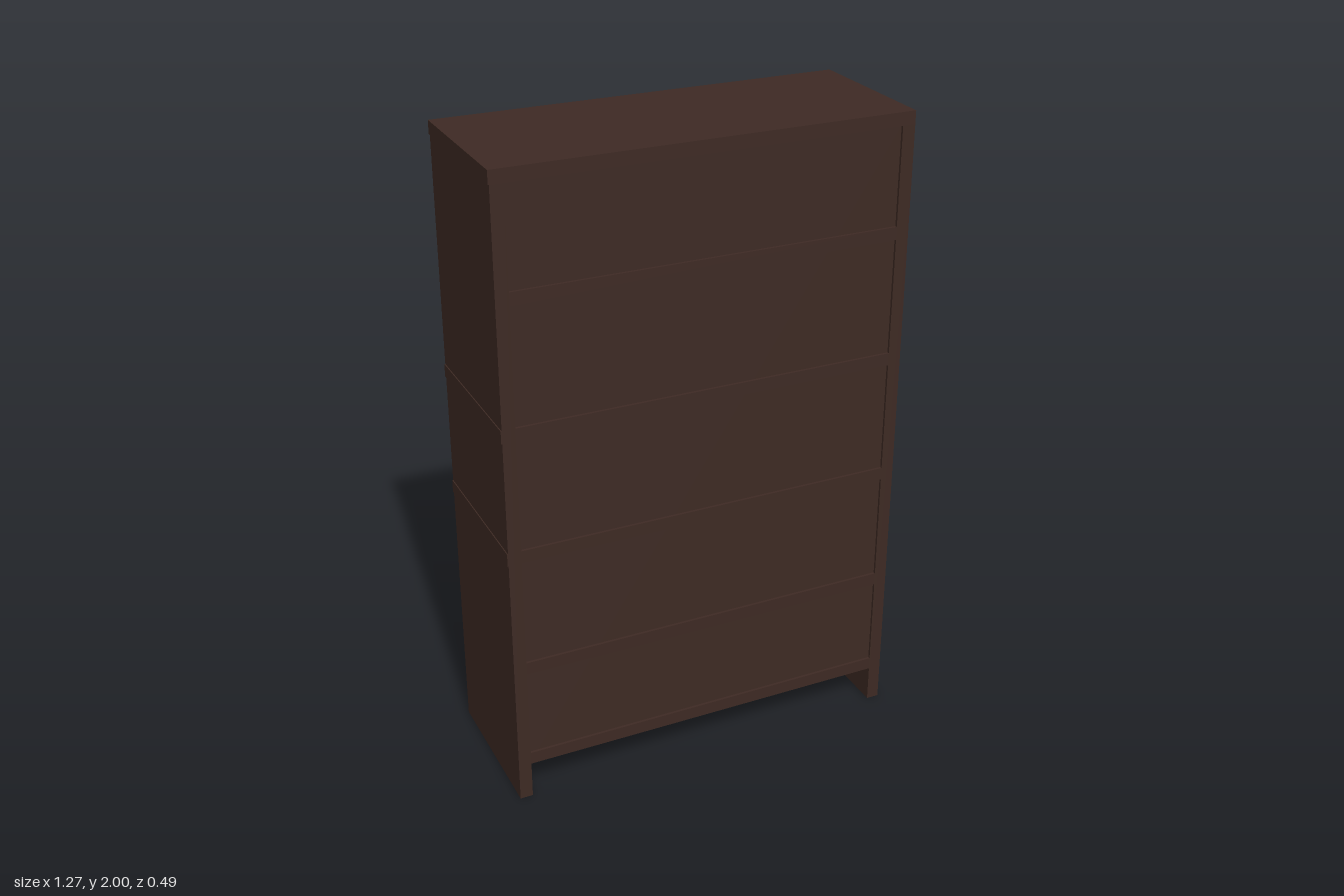
import * as THREE from 'three';

const WIDTH = 1.27, HEIGHT = 2, DEPTH = 0.49, BOARD = 0.04;

export function createModel() {
  const bookcase = new THREE.Group();
  bookcase.name = 'bookcase';
  const wood = new THREE.MeshStandardMaterial({ color: 0x3e2a24 });

  // A board given by its extents along each axis
  const board = (name, x0, x1, y0, y1, z0, z1) => {
    const mesh = new THREE.Mesh(new THREE.BoxGeometry(x1 - x0, y1 - y0, z1 - z0), wood);
    mesh.position.set((x0 + x1) / 2, (y0 + y1) / 2, (z0 + z1) / 2);
    mesh.name = name;
    bookcase.add(mesh);
  };

  const outer = WIDTH / 2, inner = outer - BOARD, half = DEPTH / 2;

  // Sides run down to the floor and act as feet
  board('leftSide', inner, outer, 0, HEIGHT - BOARD, -half, half);
  board('rightSide', -outer, -inner, 0, HEIGHT - BOARD, -half, half);

  // Top board, with a tiny overhang on one side
  board('top', -outer - 0.003, outer, HEIGHT - BOARD, HEIGHT, -half, half);

  // Shelves; the two middle ones poke slightly through the side
  [0.14, 0.467, 0.85, 1.24, 1.64].forEach((y, i) => {
    const through = i === 2 || i === 3;
    board(`shelf${i + 1}`, through ? -outer - 0.003 : -inner, inner,
      y - BOARD / 2, y + BOARD / 2, -half, half);
  });

  // Thin closing panel, set just behind the shelf edges; the other face is open
  board('closingPanel', -inner, inner, 0.12, HEIGHT - BOARD, half - 0.018, half - 0.008);

  return bookcase;
}
